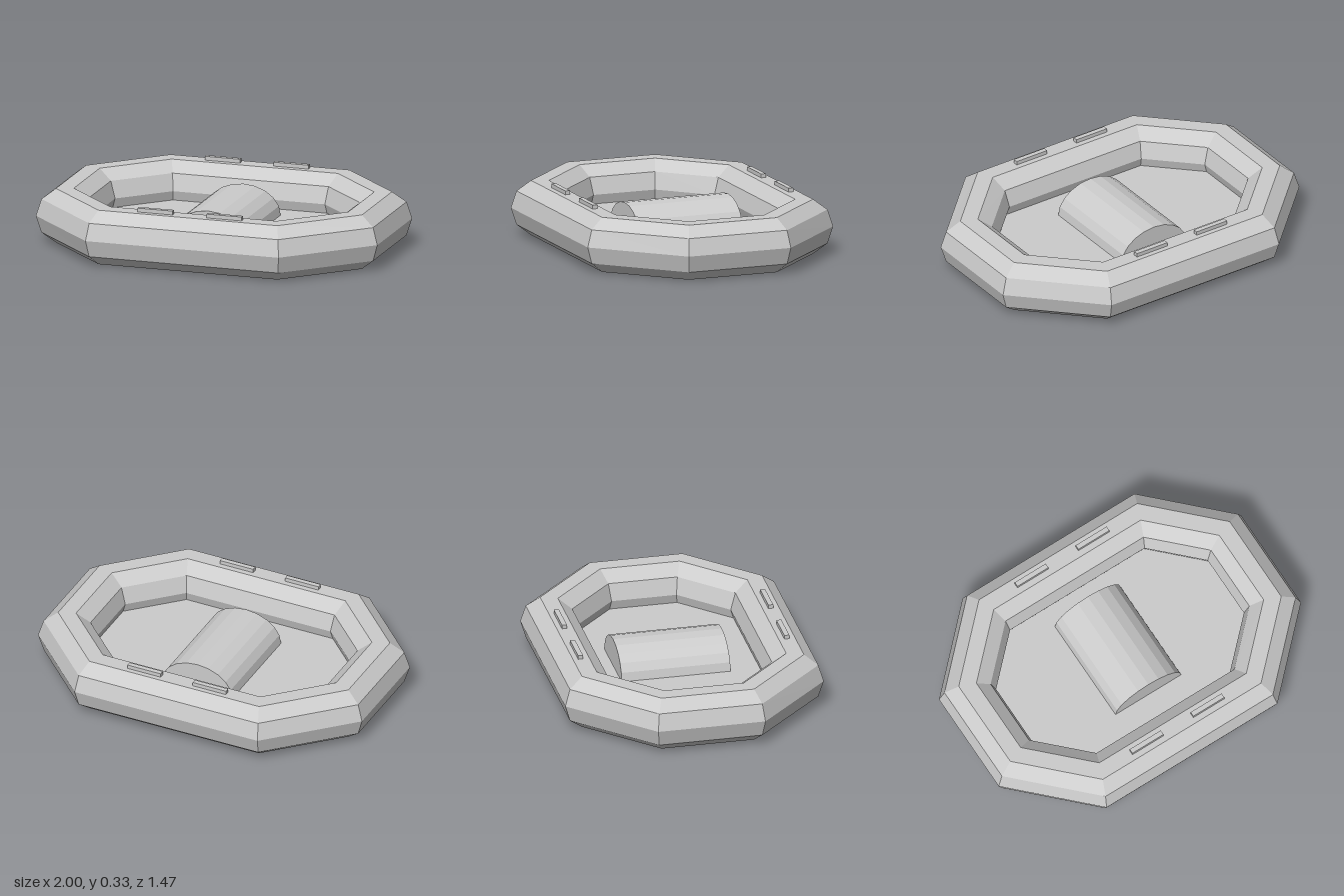
import * as THREE from 'three';

const grey = new THREE.MeshStandardMaterial({ color: 0xcccccc, flatShading: true, side: THREE.DoubleSide });

function part(name, geometry, parent) {
  const mesh = new THREE.Mesh(geometry, grey);
  mesh.name = name;
  parent.add(mesh);
  return mesh;
}

// Octagon corners in (x, z); long = corner by the ends, short = corner by the sides
function octagon([lx, lz], [sx, sz]) {
  return [[lx, lz], [sx, sz], [-sx, sz], [-lx, lz], [-lx, -lz], [-sx, -sz], [sx, -sz], [lx, -lz]];
}

// Ten-sided tube swept round the octagon with mitred corners
function tubeGeometry() {
  const sides = 10, midY = 0.155, halfHeight = 0.163;
  const centre = octagon([0.85, 0.245], [0.505, 0.586]);
  const outward = octagon([0.15, 0.06], [0.06, 0.15]);
  const point = (i, j) => {
    const a = (j / sides) * Math.PI * 2, k = i % 8;
    return [
      centre[k][0] + outward[k][0] * Math.cos(a),
      midY + halfHeight * Math.sin(a),
      centre[k][1] + outward[k][1] * Math.cos(a),
    ];
  };
  const positions = [];
  for (let i = 0; i < 8; i++) {
    for (let j = 0; j < sides; j++) {
      const a = point(i, j), b = point(i, j + 1), c = point(i + 1, j + 1), d = point(i + 1, j);
      positions.push(...a, ...b, ...c, ...a, ...c, ...d);
    }
  }
  const geometry = new THREE.BufferGeometry();
  geometry.setAttribute('position', new THREE.Float32BufferAttribute(positions, 3));
  geometry.computeVertexNormals();
  return geometry;
}

export function createModel() {
  const raft = new THREE.Group();
  raft.name = 'inflatableRaft';

  part('inflatedTube', tubeGeometry(), raft);

  // Thin floor sheet, its rim tucked into the tube
  const outline = octagon([0.72, 0.19], [0.455, 0.455]).map(([x, z]) => new THREE.Vector2(x, z));
  const floor = part('floor', new THREE.ShapeGeometry(new THREE.Shape(outline)), raft);
  floor.rotation.x = -Math.PI / 2;
  floor.position.y = 0.1;

  // Arched seat across the middle
  const arch = [];
  for (let i = 0; i <= 10; i++) {
    const a = (i / 10) * Math.PI;
    arch.push(new THREE.Vector2(0.217 * Math.cos(a), 0.162 * Math.sin(a)));
  }
  const seat = part('seat', new THREE.ExtrudeGeometry(new THREE.Shape(arch), { depth: 0.62, bevelEnabled: false }), raft);
  seat.position.set(0.003, 0.1, -0.335);

  // Grab handles, two along each side
  for (const z of [0.585, -0.59]) {
    for (const x of [-0.203, 0.2]) {
      const handle = part('grabHandle', new THREE.BoxGeometry(0.205, 0.03, 0.028), raft);
      handle.position.set(x, 0.317, z);
    }
  }
  return raft;
}
